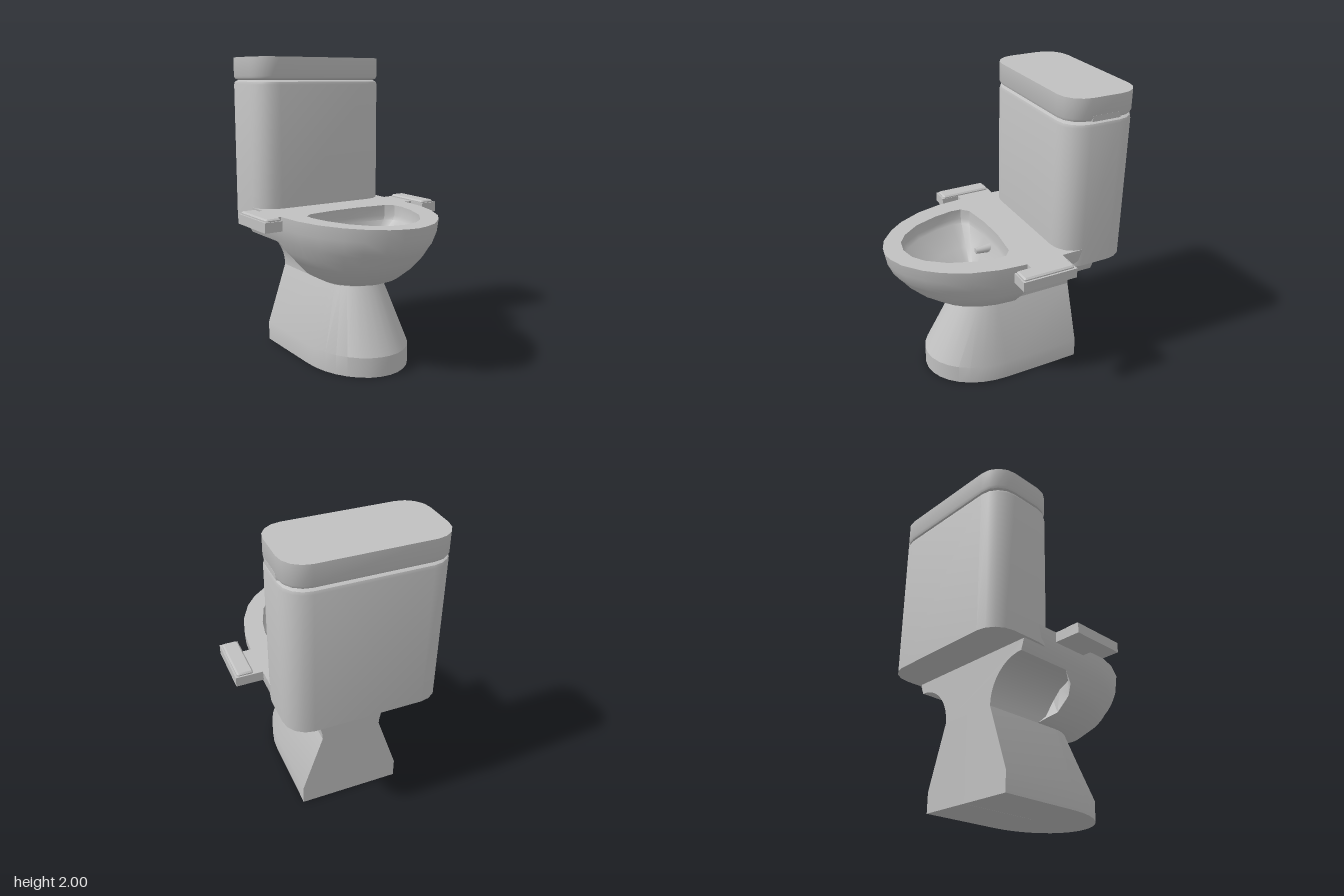
import * as THREE from 'three';
import { toCreasedNormals } from 'three/addons/utils/BufferGeometryUtils.js';

const ceramic = new THREE.MeshStandardMaterial({ color: 0xc0c0c0, side: THREE.DoubleSide });
ceramic.name = 'grey ceramic';

function add(parent, name, geometry, x = 0, y = 0, z = 0) {
  const mesh = new THREE.Mesh(geometry, ceramic);
  mesh.name = name;
  mesh.position.set(x, y, z);
  parent.add(mesh);
  return mesh;
}

// Skin a list of equally long rows of [x, y, z] points
function skin(rows, closed = false, crease = 0.6) {
  const n = rows[0].length, index = [];
  for (let j = 0; j < rows.length - 1; j++) {
    for (let i = 0; i < (closed ? n : n - 1); i++) {
      const k = (i + 1) % n;
      const a = j * n + i, b = j * n + k, c = a + n, d = b + n;
      index.push(a, c, b, b, c, d);
    }
  }
  const g = new THREE.BufferGeometry();
  g.setAttribute('position', new THREE.Float32BufferAttribute(rows.flat(2), 3));
  g.setIndex(index);
  return toCreasedNormals(g, crease);
}

// Closed rounded slab; profile lists [inset, y] from bottom to top
function slab(w, d, r, profile) {
  const ring = (inset, y) => {
    const pts = [];
    const rr = Math.max(r - inset, 0.004);
    for (let q = 0; q < 4; q++) {
      const sx = q === 0 || q === 3 ? 1 : -1, sz = q < 2 ? 1 : -1;
      for (let s = 0; s <= 4; s++) {
        const a = (q + s / 4) * Math.PI / 2;
        pts.push([sx * (w / 2 - inset - rr) + rr * Math.cos(a), y,
          sz * (d / 2 - inset - rr) + rr * Math.sin(a)]);
      }
    }
    return pts;
  };
  const rows = profile.map(([inset, y]) => ring(inset, y));
  const cap = row => row.map(p => [0, p[1], 0]);
  return skin([cap(rows[0]), ...rows, cap(rows[rows.length - 1])], true);
}

const mirrorRow = half => [...half, ...half.slice(0, -1).reverse().map(([x, y, z]) => [-x, y, z])];

// Bowl levels: y, half width, front z, back z
const levels = [
  [1, 0.5, 0.75, -0.5], [0.92, 0.495, 0.735, -0.5], [0.84, 0.47, 0.7, -0.5], [0.81, 0.455, 0.675, -0.5],
  [0.81, 0.455, 0.675, -0.12], [0.75, 0.43, 0.63, -0.05], [0.69, 0.385, 0.57, -0.02],
  [0.6, 0.3, 0.45, -0.03], [0.56, 0.235, 0.35, -0.08], [0.54, 0.2, 0.28, -0.1], [0.54, 0.01, 0.01, -0.1],
];
const nose = [[1, 0], [0.97, 0.24], [0.88, 0.47], [0.72, 0.68], [0.56, 0.81], [0.34, 0.93], [0.16, 0.98], [0, 1]];
const opening = [[0, 0], [0.1, 0], [0.3, 0.025], [0.35, 0.07], [0.355, 0.14], [0.33, 0.27],
  [0.27, 0.43], [0.18, 0.55], [0.1, 0.605], [0, 0.625]];

function bowlRow([y, w, f, b]) {
  return mirrorRow([[w, y, b], ...nose.map(([x, z]) => [x * w, y, z * f])]);
}

// Quarter arc under the deck, t from 0 (outer top) to 1 (waist)
function scoop(t) {
  const a = (1 - t) * Math.PI / 2;
  return [0.455 - 0.255 * Math.cos(a), 0.54 + 0.27 * Math.sin(a)];
}

function buildBowl(root) {
  const bowl = new THREE.Group();
  bowl.name = 'bowl';
  root.add(bowl);
  add(bowl, 'outerBowl', skin(levels.map(bowlRow)));

  // Flat rim and deck with the opening cut out
  const rim = new THREE.Shape(bowlRow(levels[0]).map(p => new THREE.Vector2(p[0], -p[2])));
  const hole = mirrorRow(opening.map(([x, z]) => [x, 0, z])).slice(0, -1);
  rim.holes.push(new THREE.Path(hole.map(p => new THREE.Vector2(p[0], -p[2]))));
  add(bowl, 'rim', new THREE.ShapeGeometry(rim).rotateX(-Math.PI / 2), 0, 1, 0);

  // Inner basin funnels down to the drain
  const basin = [[1, 1], [1, 0.93], [0.96, 0.9], [0.58, 0.78], [0.17, 0.66], [0.13, 0.58], [0.01, 0.58]];
  add(bowl, 'basin', skin(basin.map(([s, y]) =>
    hole.map(p => [p[0] * s, y, 0.14 + (p[2] - 0.14) * s])), true));
  add(bowl, 'drainRing', new THREE.TorusGeometry(0.055, 0.012, 8, 24).rotateX(Math.PI / 2), 0, 0.675, 0.18);
  add(bowl, 'spout', new THREE.CylinderGeometry(0.02, 0.032, 0.12, 12).rotateX(Math.PI / 2), 0, 0.86, 0.06);

  // Hollow end walls where the bowl meets the neck
  const edge = levels.slice(4, 10);
  for (const side of [1, -1]) {
    const outer = edge.map(([y, w, , b]) => [side * w, y, b]);
    const inner = edge.map((e, i) => {
      const [x, y] = scoop(i / 5);
      return [side * x, y, i % 5 ? -0.01 : e[3]];
    });
    add(bowl, 'bowlEndWall', skin([outer, inner]));
  }
}

function buildPedestal(root) {
  const pedestal = new THREE.Group();
  pedestal.name = 'pedestal';
  root.add(pedestal);

  // Flared foot: square at the back, rounded at the front
  const footRow = (y, w, f) => {
    const half = [[0, y, -0.5], [w, y, -0.5]];
    for (let i = 0; i <= 8; i++) {
      const a = i / 8 * Math.PI / 2;
      half.push([w * Math.cos(a), y, 0.05 + (f - 0.05) * Math.sin(a)]);
    }
    return mirrorRow(half).slice(0, -1);
  };
  add(pedestal, 'foot', skin([footRow(0, 0.001, 0.051), footRow(0, 0.34, 0.5),
    footRow(0.13, 0.34, 0.5), footRow(0.54, 0.2, 0.28)], true, 0.4));

  // Neck with concave sides carrying the deck
  const right = [[0.478, 0.88]];
  for (let i = 0; i <= 10; i++) right.push(scoop(i / 10));
  const outline = [...right, ...right.slice().reverse().map(([x, y]) => [-x, y])];
  const neck = new THREE.ExtrudeGeometry(new THREE.Shape(outline.map(p => new THREE.Vector2(...p))),
    { depth: 0.49, bevelEnabled: false });
  add(pedestal, 'neck', toCreasedNormals(neck, 0.6), 0, 0, -0.5);
}

function buildTank(root) {
  const tank = new THREE.Group();
  tank.name = 'tank';
  tank.position.z = -0.5;
  root.add(tank);
  add(tank, 'tankBody', slab(1, 0.5, 0.15, [[0, 0.88], [0, 1.82], [0.006, 1.838], [0.03, 1.85]]));
  add(tank, 'tankLid', slab(1, 0.5, 0.15, [[0.03, 1.85], [0.008, 1.858], [0, 1.875], [0, 2]]));
  // Small flush grip under the left edge of the lid
  const grip = new THREE.Shape([[-0.1, 0], [0.1, 0], [0.09, 0.035], [-0.09, 0.035]].map(p => new THREE.Vector2(...p)));
  add(tank, 'flushGrip', new THREE.ExtrudeGeometry(grip, { depth: 0.03, bevelEnabled: false })
    .rotateY(Math.PI / 2), 0.471, 1.855, 0);
}

function buildArmrests(root) {
  for (const side of [1, -1]) {
    const arm = new THREE.Group();
    arm.name = side > 0 ? 'leftSidePlate' : 'rightSidePlate';
    root.add(arm);
    add(arm, 'plate', new THREE.BoxGeometry(0.12, 0.065, 0.37), side * 0.615, 0.9675, -0.065);
    add(arm, 'bracket', new THREE.BoxGeometry(0.1, 0.065, 0.25), side * 0.51, 0.9675, -0.125);
    add(arm, 'pad', slab(0.105, 0.35, 0.015, [[0, 1], [0, 1.008], [0.01, 1.017]]), side * 0.61, 0, -0.065);
  }
}

export function createModel() {
  const root = new THREE.Group();
  root.name = 'toilet';
  buildBowl(root);
  buildPedestal(root);
  buildTank(root);
  buildArmrests(root);
  return root;
}
